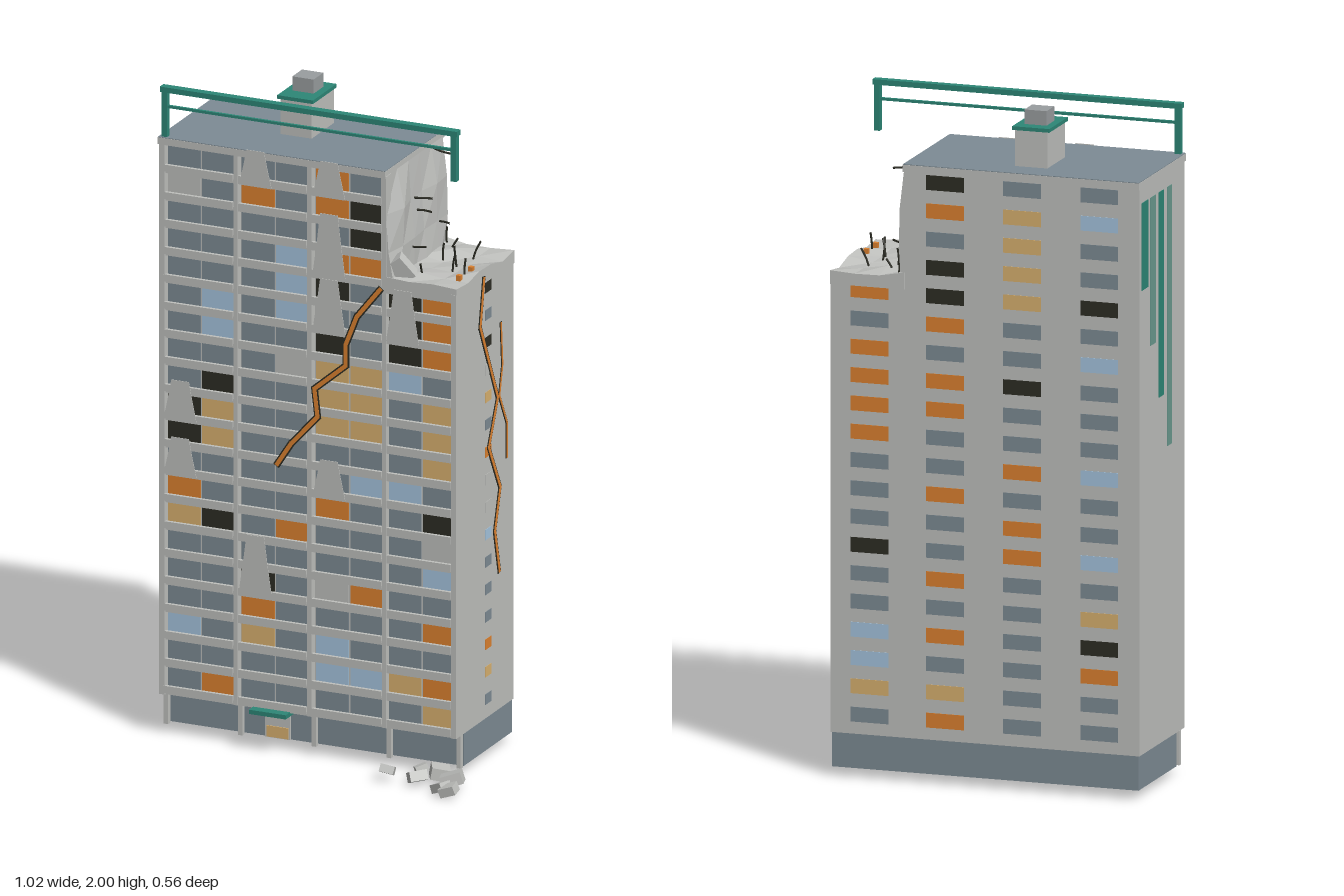
import * as THREE from 'three';
import { mergeGeometries } from 'three/addons/utils/BufferGeometryUtils.js';

const COLORS = {
  concrete: 0xc0c1be, slate: 0x7e8c95, paleBlue: 0xa6c6e0, tan: 0xdab270, orange: 0xde8230,
  charcoal: 0x2d2d24, teal: 0x2d8777, fadedTeal: 0x6a9a8f, ventGrey: 0x9a9ea0,
};

const FLOOR = 0.0841, BASE = 0.13, BACK = -0.272, PODIUM = 0.06, WALL = 0.096, FRONT = 0.122;
const FINS = [-0.502, -0.265, -0.03, 0.209, 0.432];
const PANE = { g: 'slate', b: 'paleBlue', t: 'tan', o: 'orange', d: 'charcoal', w: 'concrete' };

// Window colours, ground floor first
const FRONT_ROWS = [
  'gogggggt', 'ggggbbto', 'bgtgbggg', 'ggoggggo', 'ggdgwogg', 'gggggggb', 'tdgogggw',
  'ogggoggd', 'gggggbbg', 'dtgggggt', 'dtggttgt', 'gdggttgt', 'gggwttbg', 'gbggdgdo',
  'gbgbggdo', 'gggbdgdo', 'gggboo', 'gggggd', 'wgogod', 'ggggog',
];
const BACK_COLUMNS = [
  [-0.385, 'ggodtgbggbgggbgdggbg'], [-0.148, 'ggggggoogoggdggttttg'],
  [0.088, 'otgogoggoggoogoddgod'], [0.32, 'gtbbggdgggoooogo'],
];
const SIDE_WINDOWS = 'gtogggbwwogtwdgd';

export function createModel() {
  const root = new THREE.Group();
  const mats = {};
  for (const [name, color] of Object.entries(COLORS)) {
    mats[name] = new THREE.MeshStandardMaterial({ color });
    mats[name].name = name;
  }
  const add = (name, geo, mat, parent = root) => {
    const m = new THREE.Mesh(geo, mats[mat]);
    m.name = name;
    parent.add(m);
    return m;
  };
  // Box given by its limits
  const span = (x0, x1, y0, y1, z0, z1) =>
    new THREE.BoxGeometry(x1 - x0, y1 - y0, z1 - z0).translate((x0 + x1) / 2, (y0 + y1) / 2, (z0 + z1) / 2);
  let seed = 7;
  const rnd = () => (seed = (seed * 16807) % 2147483647) / 2147483647;
  const group = (name) => {
    const g = new THREE.Group();
    g.name = name;
    root.add(g);
    return g;
  };

  // Main walls
  add('tallCore', span(-0.5, 0.21, BASE, 1.82, BACK, WALL), 'concrete');
  add('lowCore', span(0.21, 0.43, BASE, 1.475, BACK, WALL), 'concrete');
  add('leftEndWall', span(0.424, 0.44, BASE, 1.49, BACK, FRONT), 'concrete');
  add('rightEndWall', span(-0.508, -0.49, BASE, 1.82, BACK, FRONT), 'concrete');
  add('roofSlab', span(-0.512, 0.214, 1.815, 1.836, -0.286, 0.123), 'concrete');
  add('roofDeck', span(-0.511, 0.213, 1.835, 1.838, -0.285, 0.122), 'slate');

  // Balcony slabs, railings and dividing fins
  const slabs = [], rails = [];
  for (let i = 0; i < 20; i++) {
    const y = BASE + i * FLOOR, bays = i < 16 ? 4 : 3;
    slabs.push(span(-0.5, FINS[bays], y, y + 0.012, WALL - 0.01, 0.117));
    for (let b = 0; b < bays; b++)
      rails.push(span(FINS[b] + 0.009, FINS[b + 1] - 0.009, y + 0.006, y + 0.027, 0.112, 0.1225));
  }
  add('balconySlabs', mergeGeometries(slabs), 'concrete');
  add('balconyRailings', mergeGeometries(rails), 'concrete');
  add('balconyFins', mergeGeometries(FINS.slice(1, 4).map((x) =>
    span(x - 0.007, x + 0.007, BASE, 1.82, WALL - 0.01, 0.12))), 'concrete');

  // Windows, gathered by colour
  const panes = {};
  const pane = (c, geo) => (panes[PANE[c]] ??= []).push(geo);
  FRONT_ROWS.forEach((row, i) => [...row].forEach((c, k) => {
    const b = k >> 1, mid = (FINS[b] + FINS[b + 1]) / 2, x = mid + (k % 2 ? 0.055 : -0.055);
    const y = BASE + i * FLOOR;
    pane(c, span(x - 0.052, x + 0.052, y + 0.02, y + 0.083, WALL - 0.002, WALL + 0.004));
  }));
  for (const [x, column] of BACK_COLUMNS) [...column].forEach((c, i) => {
    const y = 0.188 + i * FLOOR;
    pane(c, span(x - 0.058, x + 0.058, y - 0.022, y + 0.022, BACK - 0.0015, BACK + 0.001));
  });
  [...SIDE_WINDOWS].forEach((c, i) => {
    const y = 0.188 + i * FLOOR;
    pane(c, span(0.438, 0.4412, y - 0.016, y + 0.016, -0.12, -0.077));
  });
  for (const [mat, list] of Object.entries(panes)) add(mat + 'Windows', mergeGeometries(list), mat);

  // Plaster patches tapering above burnt windows: x, bottom, top
  const patches = [[-0.2, 1.73, 1.84], [0.035, 1.73, 1.84], [0.035, 1.49, 1.68], [0.035, 1.32, 1.48],
    [0.27, 1.32, 1.48], [-0.44, 0.98, 1.1], [-0.44, 0.81, 0.925], [0.035, 0.81, 0.925], [-0.2, 0.485, 0.66]];
  add('plasterPatches', mergeGeometries(patches.map(([x, y0, y1]) => {
    const h = y1 - y0;
    const s = new THREE.Shape([[-0.052, 0], [0.052, 0], [0.038, h * 0.55], [0.028, h], [-0.028, h], [-0.038, h * 0.55]]
      .map(p => new THREE.Vector2(...p)));
    return new THREE.ExtrudeGeometry(s, { depth: 0.002, bevelEnabled: false }).translate(x, y0, 0.1228);
  })), 'concrete');

  // Glowing cracks with a dark rim
  const crack = (name, pts, width, depth) => {
    const g = group(name);
    for (const [part, mat, w, z] of [['rim', 'charcoal', width, depth], ['glow', 'orange', width * 0.6, depth + 0.0012]])
      add(part, mergeGeometries(pts.slice(1).map(([x1, y1], i) => {
        const [x0, y0] = pts[i], dx = x1 - x0, dy = y1 - y0;
        return new THREE.BoxGeometry(Math.hypot(dx, dy) + w * 0.5, w, 0.002)
          .rotateZ(Math.atan2(dy, dx)).translate((x0 + x1) / 2, (y0 + y1) / 2, z);
      })), mat, g);
    return g;
  };
  crack('frontCrack', [[0.2, 1.475], [0.125, 1.38], [0.09, 1.29], [0.09, 1.225], [-0.01, 1.14], [0, 1.055],
    [-0.085, 0.96], [-0.13, 0.89]], 0.021, 0.1255);
  crack('sideCrack', [[0.066, 1.485], [0.04, 1.34], [0.16, 1.09], [0.098, 0.955], [0.177, 0.81], [0.14, 0.685],
    [0.172, 0.553]], 0.019, 0.4412).rotation.y = Math.PI / 2;
  crack('sideCrackBranch', [[0.183, 1.31], [0.193, 1.18], [0.172, 1.09], [0.225, 0.99], [0.225, 0.886]],
    0.012, 0.4408).rotation.y = Math.PI / 2;

  // Torn wall and torn floor with faceted surfaces
  const torn = (geo, rule) => {
    const p = geo.attributes.position, moved = {};
    for (let i = 0; i < p.count; i++) {
      const v = new THREE.Vector3().fromBufferAttribute(p, i);
      const key = v.toArray().map(n => n.toFixed(3)).join();
      moved[key] ??= rule(v.clone());
      p.setXYZ(i, ...moved[key].toArray());
    }
    const flat = geo.toNonIndexed();
    flat.computeVertexNormals();
    return flat;
  };
  add('tornWall', torn(new THREE.BoxGeometry(0.016, 0.35, 0.39, 1, 3, 5), v => {
    if (v.x > 0 && v.y < 0.17) v.x += rnd() * 0.026 + (v.y < -0.1 ? 0.008 : 0);
    return v;
  }).translate(0.206, 1.645, -0.077), 'concrete');
  add('tornFloor', torn(new THREE.BoxGeometry(0.228, 0.04, 0.398, 3, 1, 5), v => {
    if (v.y > 0) v.y += rnd() * 0.026 - 0.013;
    return v;
  }).translate(0.326, 1.483, -0.079), 'concrete');
  const slab = add('fallenSlab', new THREE.BoxGeometry(0.05, 0.075, 0.04), 'concrete');
  slab.position.set(0.25, 1.535, 0.085);
  slab.rotation.set(0.2, 0.3, 0.6);

  // Bent reinforcing bars
  const bars = [];
  const bar = (x, y, z, dx, dy, dz) => {
    const a = new THREE.Vector3(x, y, z), d = new THREE.Vector3(dx, dy, dz);
    const path = new THREE.CatmullRomCurve3([a, a.clone().addScaledVector(d, 0.55),
      a.clone().add(d).add(new THREE.Vector3(0.006, 0, rnd() * 0.03 - 0.015))]);
    bars.push(new THREE.TubeGeometry(path, 4, 0.0032, 5));
  };
  for (let i = 0; i < 9; i++)
    bar(0.23 + rnd() * 0.19, 1.485, -0.25 + i * 0.041, rnd() * 0.04 - 0.02, 0.05 + rnd() * 0.035, rnd() * 0.03 - 0.015);
  for (const [y, z] of [[1.81, -0.2], [1.7, -0.06], [1.66, -0.07], [1.58, -0.215], [1.56, -0.03]])
    bar(0.215, y, z, 0.055, rnd() * 0.02 - 0.01, rnd() * 0.03 - 0.015);
  add('reinforcingBars', mergeGeometries(bars), 'charcoal');
  for (const z of [-0.05, 0.032])
    add('ember', new THREE.BoxGeometry(0.014, 0.025, 0.014).translate(0.408, 1.508, z), 'orange');

  // Hollow ground storey, posts and entrance
  const podium = group('groundStorey');
  add('frontWall', span(-0.505, 0.436, 0.028, BASE, 0.05, PODIUM), 'slate', podium);
  add('backWall', span(-0.505, 0.436, 0.028, BASE, BACK, BACK + 0.01), 'slate', podium);
  for (const x of [-0.505, 0.426]) add('endWall', span(x, x + 0.01, 0.028, BASE, BACK, PODIUM), 'slate', podium);
  for (const x of FINS) add('post', span(x - 0.007, x + 0.007, 0.028, BASE, 0.073, 0.088), 'concrete', podium);
  add('doorSurround', span(-0.195, -0.115, 0.028, 0.105, 0.055, 0.067), 'concrete', podium);
  add('door', span(-0.19, -0.12, 0.03, 0.064, 0.064, 0.07), 'tan', podium);
  add('canopy', span(-0.21, -0.092, 0.12, 0.133, 0.06, 0.147), 'teal', podium);

  // Rooftop plant room
  add('plantRoom', span(-0.2, -0.1, 1.835, 1.948, -0.2, -0.048), 'concrete');
  add('plantRoomRoof', span(-0.208, -0.094, 1.946, 1.957, -0.206, -0.044), 'teal');
  add('ventStack', span(-0.186, -0.118, 1.955, 2, -0.167, -0.1), 'ventGrey');

  // Rooftop frame
  const frame = group('roofFrame');
  add('topBeam', span(-0.508, 0.44, 1.974, 1.99, 0.092, 0.117), 'teal', frame);
  for (const x of [-0.503, 0.42]) add('upright', span(x, x + 0.018, 1.836, 1.98, 0.099, 0.117), 'teal', frame);
  add('rod', span(-0.49, 0.425, 1.926, 1.934, 0.104, 0.112), 'teal', frame);

  // Streaks down the windowless end wall: z limits and length
  [[-0.255, -0.198, 0.26], [-0.18, -0.13, 0.44], [-0.105, -0.062, 0.61], [-0.03, 0.008, 0.77]].forEach(([z0, z1, h], i) =>
    add('wallStreak', span(-0.5095, -0.507, 1.77 - h, 1.77, z0, z1), i % 2 ? 'fadedTeal' : 'teal'));

  // Fallen rubble: x, z, size
  const rubble = group('rubble');
  for (const [x, z, s] of [[0.255, 0.195, 0.037], [0.348, 0.19, 0.046], [0.39, 0.125, 0.055], [0.335, 0.135, 0.032],
    [0.455, 0.18, 0.055], [0.445, 0.238, 0.04], [0.478, 0.255, 0.042]]) {
    const geo = new THREE.BoxGeometry(s * 1.15, s * 0.65, s)
      .rotateX(rnd() * 0.8 - 0.4).rotateZ(rnd() * 0.8 - 0.4).rotateY(rnd() * 3);
    geo.computeBoundingBox();
    add('chunk', geo.translate(x, -geo.boundingBox.min.y + (s < 0.04 ? 0.012 : 0), z), 'concrete', rubble);
  }
  return root;
}
